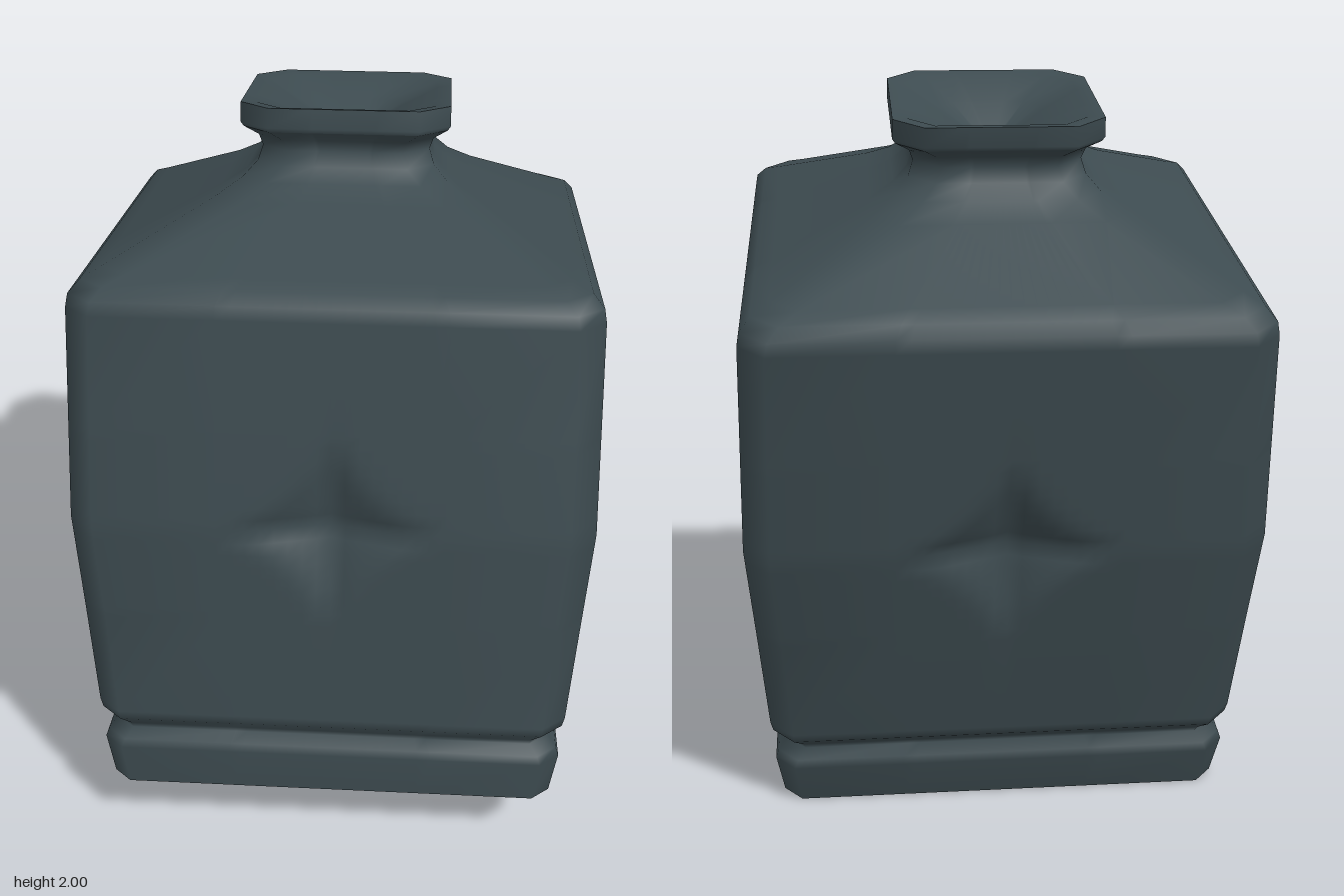
import * as THREE from 'three';

// Column positions across one side, as fractions of its flat half-width (dense around the dent)
const columns = [-1];
for (let i = -8; i <= 8; i++) columns.push(i * 0.06);
columns.push(1);

const DENT_HEIGHT = 0.84;

// Four-pointed star dent, deepest in the middle
function dent(x, y) {
  const a = Math.abs(x) / 0.28, b = Math.abs(y - DENT_HEIGHT) / 0.28;
  const d = Math.pow(Math.pow(a, 0.75) + Math.pow(b, 0.75), 1 / 0.75);
  return 0.075 * Math.max(0, 1 - d);
}

// Loft of square rings with cut corners; each ring is [half-width, height, corner cut]
function squareLoft(rings, dented = false) {
  const pos = [], index = [];
  const n = columns.length * 4;
  for (const [r, y, cut] of rings) {
    for (let side = 0; side < 4; side++) {
      for (const t of columns) {
        let x = t * (r - cut);
        let z = r - (dented ? dent(x, y) : 0);
        for (let k = 0; k < side; k++) [x, z] = [z, -x];
        pos.push(x, y, z);
      }
    }
  }
  for (let j = 0; j < rings.length - 1; j++) {
    for (let i = 0; i < n; i++) {
      const a = j * n + i, b = j * n + (i + 1) % n;
      index.push(a, b, b + n, a, b + n, a + n);
    }
  }
  const g = new THREE.BufferGeometry();
  g.setAttribute('position', new THREE.Float32BufferAttribute(pos, 3));
  g.setIndex(index);
  g.computeVertexNormals();
  return g;
}

export function createModel() {
  const model = new THREE.Group();
  model.name = 'squareBottle';
  const slate = new THREE.MeshStandardMaterial({ color: 0x3d4b50 });
  slate.name = 'dark slate';

  const bottle = new THREE.Group();
  bottle.name = 'tiltedBottle';
  const add = (name, geometry) => {
    const mesh = new THREE.Mesh(geometry, slate);
    mesh.name = name;
    bottle.add(mesh);
  };

  // Foot, groove and the lower edge of the body
  const body = [
    [0.622, 0, 0.05], [0.642, 0.125, 0.055], [0.634, 0.147, 0.055],
    [0.612, 0.175, 0.055], [0.616, 0.19, 0.055], [0.646, 0.222, 0.06], [0.653, 0.25, 0.065],
  ];
  // Bulging walls, with dense rows across the dents
  for (let i = -8; i <= 8; i++) {
    const y = DENT_HEIGHT + i * 0.035;
    const r = y < DENT_HEIGHT
      ? THREE.MathUtils.mapLinear(y, 0.25, DENT_HEIGHT, 0.653, 0.696)
      : THREE.MathUtils.mapLinear(y, DENT_HEIGHT, 1.42, 0.696, 0.682);
    body.push([r, y, 0.07]);
  }
  // Rounded edge, sloping shoulders and neck
  body.push(
    [0.682, 1.42, 0.07], [0.676, 1.455, 0.07], [0.648, 1.486, 0.07],
    [0.6, 1.507, 0.07], [0.342, 1.628, 0.07], [0.275, 1.668, 0.07],
    [0.238, 1.705, 0.07], [0.225, 1.745, 0.07], [0.235, 1.775, 0.07], [0.272, 1.803, 0.075],
  );
  add('body', squareLoft(body, true));

  // Lip band, then the funnel-shaped mouth
  add('lip', squareLoft([[0.272, 1.803, 0.075], [0.28, 1.815, 0.08], [0.279, 1.868, 0.08]]));
  add('mouth', squareLoft([
    [0.279, 1.868, 0.08], [0.24, 1.862, 0.07], [0.14, 1.815, 0.04], [0.03, 1.745, 0.01], [0, 1.72, 0],
  ]));

  // Flat underside
  add('underside', squareLoft([[0, 0, 0], [0.622, 0, 0.05]]));

  // The whole bottle leans backwards
  bottle.rotation.x = THREE.MathUtils.degToRad(-10);
  bottle.position.set(0, 0.108, 0.157);
  model.add(bottle);
  return model;
}
